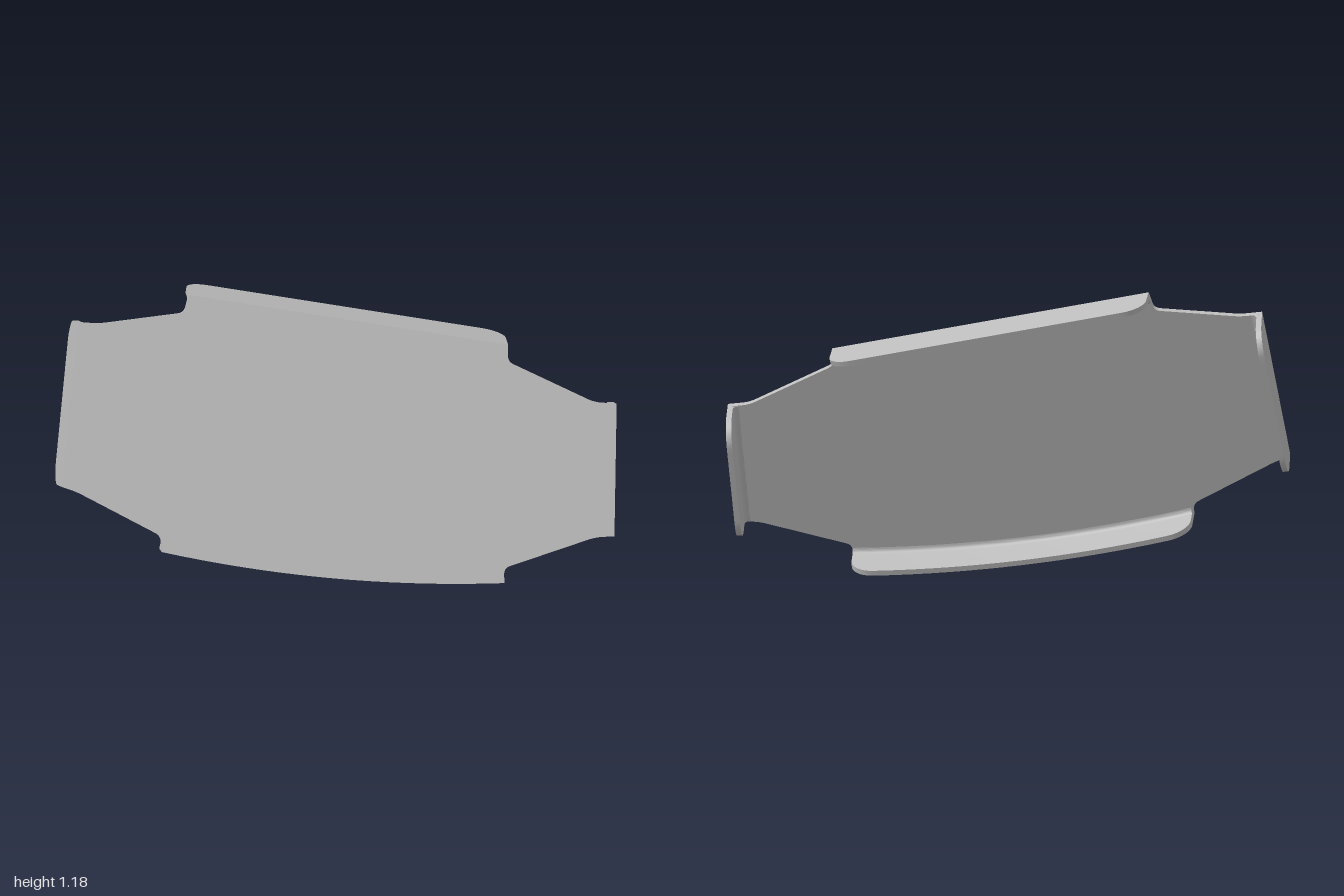
import * as THREE from 'three';
import { toCreasedNormals } from 'three/addons/utils/BufferGeometryUtils.js';

const T = 0.022;      // sheet thickness
const BEND = 0.022;   // inner bend radius
const CORNER = 0.09;  // rounded flange corners

// Plate corners in the plate's own plane: [across, up, rounding]
const TOP_R = [0.487, 1.004, 0], TOP_L = [-0.798, 1.003, 0];
const LEFT_T = [-1.217, 0.828, 0], LEFT_B = [-1.175, 0.176, 0];
const LOW_L = [-0.739, -0.017, 0], LOW_R = [0.625, 0.072, 0];
const RIGHT_B = [1.027, 0.322, 0], RIGHT_T = [0.951, 0.84, 0];
const LOW_BOW = [-0.05, -0.057];

const v2 = (p) => new THREE.Vector2(p[0], p[1]);
const line = (a, b) => new THREE.LineCurve(v2(a), v2(b));
const lowEdge = new THREE.QuadraticBezierCurve(v2(LOW_L), v2(LOW_BOW), v2(LOW_R));

// Main sheet with a relief notch at each end of every bend
function plateGeometry() {
  const outline = [
    TOP_R, TOP_L, [-0.804, 0.93, 0.025], [-1.132, 0.835, 0.03], LEFT_T,
    LEFT_B, [-1.115, 0.166, 0.03], [-0.753, 0.045, 0.025], LOW_L,
    LOW_R, [0.614, 0.13, 0.025], [0.952, 0.306, 0.03], RIGHT_B,
    RIGHT_T, [0.865, 0.832, 0.03], [0.497, 0.938, 0.025],
  ];
  const shape = new THREE.Shape();
  shape.moveTo(TOP_R[0], TOP_R[1]);
  for (let i = 1; i < outline.length; i++) {
    const p = v2(outline[i]), r = outline[i][2];
    if (outline[i] === LOW_R) {
      shape.quadraticCurveTo(LOW_BOW[0], LOW_BOW[1], p.x, p.y);
    } else if (r > 0) {
      const toward = (q) => v2(q).sub(p).setLength(r).add(p);
      const a = toward(outline[i - 1]), b = toward(outline[(i + 1) % outline.length]);
      shape.lineTo(a.x, a.y);
      shape.quadraticCurveTo(p.x, p.y, b.x, b.y);
    } else {
      shape.lineTo(p.x, p.y);
    }
  }
  const geo = new THREE.ExtrudeGeometry(shape, { depth: T, bevelEnabled: false, curveSegments: 20 });
  geo.translate(0, 0, -T);
  return toCreasedNormals(geo, 0.5);
}

// Folded flange: an L-shaped section swept along an edge, shorter near both ends
function flangeGeometry(edge, depth, lean) {
  const length = edge.getLength();
  const stations = [];
  const steps = 8;
  for (let i = 0; i <= steps; i++) {
    const a = (i / steps) * Math.PI / 2;
    stations.push([CORNER * (1 - Math.cos(a)), depth - CORNER * (1 - Math.sin(a))]);
  }
  for (let i = 1; i < 16; i++) {
    stations.push([CORNER + (length - 2 * CORNER) * i / 16, depth]);
  }
  for (let i = steps; i >= 0; i--) stations.push([length - stations[i][0], stations[i][1]]);

  const rings = stations.map(([s, d]) => {
    const u = s / length;
    const p = edge.getPointAt(u), t = edge.getTangentAt(u);
    const section = [[0, 0], [0, d], [T, d]];
    for (let k = 0; k <= 5; k++) {
      const a = (k / 5) * Math.PI / 2;
      section.push([T + BEND * (1 - Math.cos(a)), T + BEND * (1 - Math.sin(a))]);
    }
    section.push([T + BEND, 0]);
    return section.map(([q, back]) => {
      const inward = q - back * lean;
      return [p.x - t.y * inward, p.y + t.x * inward, -back];
    });
  });

  const pos = [];
  const tri = (a, b, c) => pos.push(...a, ...b, ...c);
  const n = rings[0].length, last = rings[rings.length - 1];
  for (let i = 0; i < rings.length - 1; i++) {
    for (let j = 0; j < n; j++) {
      const k = (j + 1) % n;
      tri(rings[i][j], rings[i][k], rings[i + 1][k]);
      tri(rings[i][j], rings[i + 1][k], rings[i + 1][j]);
    }
  }
  for (let j = 1; j < n - 1; j++) {
    tri(rings[0][0], rings[0][j + 1], rings[0][j]);
    tri(last[0], last[j], last[j + 1]);
  }
  const geo = new THREE.BufferGeometry();
  geo.setAttribute('position', new THREE.Float32BufferAttribute(pos, 3));
  return toCreasedNormals(geo, 0.5);
}

export function createModel() {
  const steel = new THREE.MeshStandardMaterial({ color: 0xbcbcbc });
  steel.name = 'plain grey';

  const bracket = new THREE.Group();
  bracket.name = 'bracket';
  const add = (name, geometry) => {
    const mesh = new THREE.Mesh(geometry, steel);
    mesh.name = name;
    bracket.add(mesh);
  };

  add('mainPlate', plateGeometry());
  add('topFlange', flangeGeometry(line(TOP_R, TOP_L), 0.2, 0.2));
  add('rightEndFlange', flangeGeometry(line(LEFT_T, LEFT_B), 0.205, 0.03));
  add('bottomFlange', flangeGeometry(lowEdge, 0.19, -0.07));
  add('leftEndFlange', flangeGeometry(line(RIGHT_B, RIGHT_T), 0.2, 0));

  // Tilt the sheet into its resting pose
  const normal = new THREE.Vector3(0.56, 0.373, 0.739).normalize();
  const across = new THREE.Vector3(0.826, -0.195, -0.53).projectOnPlane(normal).normalize();
  const up = normal.clone().cross(across);
  bracket.quaternion.setFromRotationMatrix(new THREE.Matrix4().makeBasis(across, up, normal));
  bracket.position.copy(normal).multiplyScalar(0.302);

  const model = new THREE.Group();
  model.name = 'foldedSheetBracket';
  model.add(bracket);
  return model;
}
